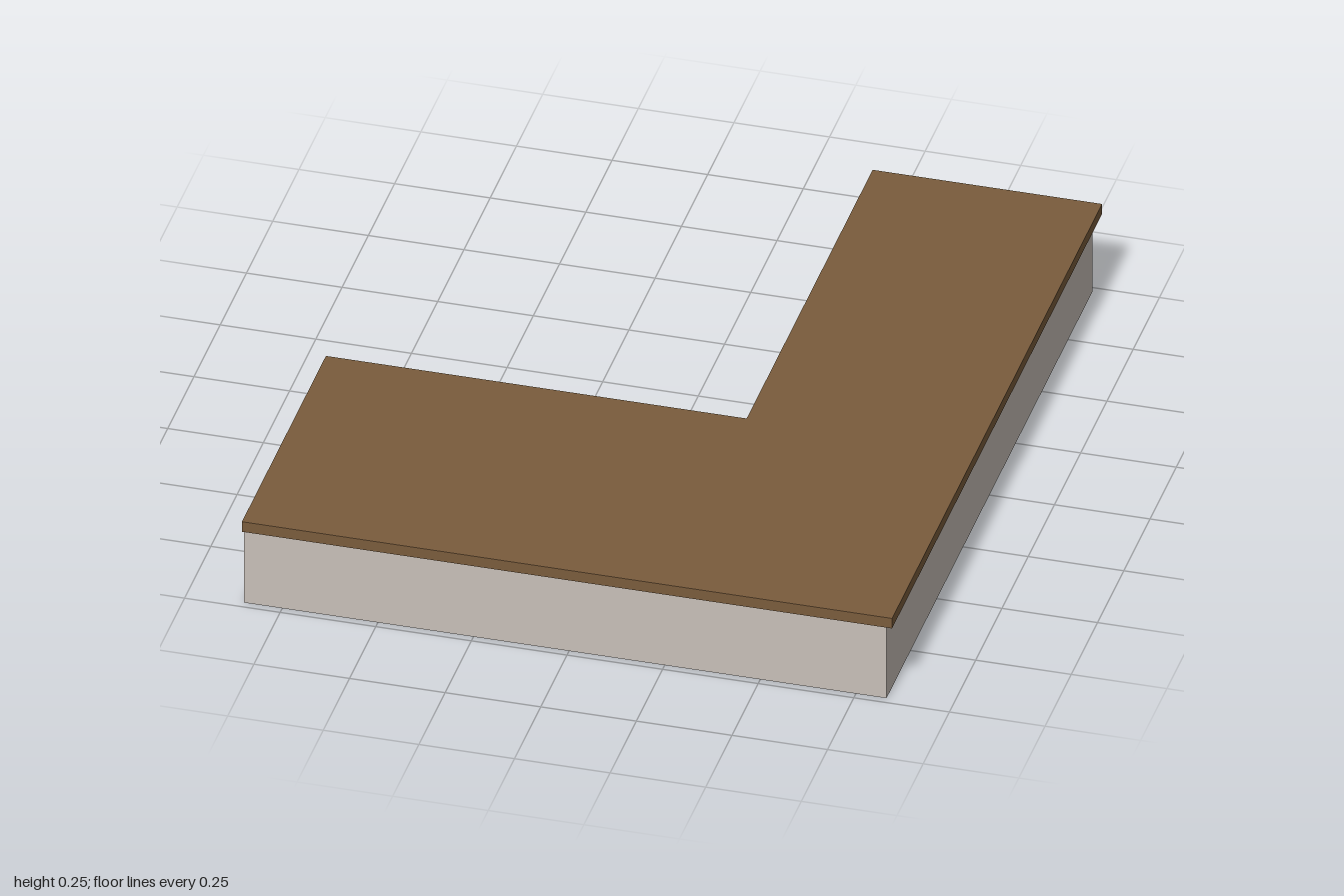
import * as THREE from 'three';

// L-shaped slab: footprint corners as [x, z], extruded upward from y0 to y1
function lSlab(name, corners, y0, y1, material) {
  const shape = new THREE.Shape(corners.map(([x, z]) => new THREE.Vector2(x, -z)));
  const geometry = new THREE.ExtrudeGeometry(shape, { depth: y1 - y0, bevelEnabled: false });
  geometry.rotateX(-Math.PI / 2).translate(0, y0, 0);
  const mesh = new THREE.Mesh(geometry, material);
  mesh.name = name;
  return mesh;
}

// Footprint with long arm along x at the front and another running back on the +x side
function lCorners(xMin, xInner, xMax, zBack, zInner, zFront) {
  return [
    [xMin, zFront], [xMax, zFront], [xMax, zBack],
    [xInner, zBack], [xInner, zInner], [xMin, zInner],
  ];
}

export function createModel() {
  const wood = new THREE.MeshStandardMaterial({ color: 0x7a5c3c });
  wood.name = 'brown wood';
  const stone = new THREE.MeshStandardMaterial({ color: 0xc8c0b8 });
  stone.name = 'pale grey';

  const group = new THREE.Group();
  group.name = 'cornerPlatform';

  // Base, inset under the deck on every side except the flush -x end
  group.add(lSlab('base', lCorners(-0.85, 0.27, 0.83, -0.98, 0.22, 0.98), 0, 0.225, stone));
  // Overhanging deck
  group.add(lSlab('deck', lCorners(-0.85, 0.25, 0.85, -1, 0.2, 1), 0.225, 0.255, wood));
  return group;
}
